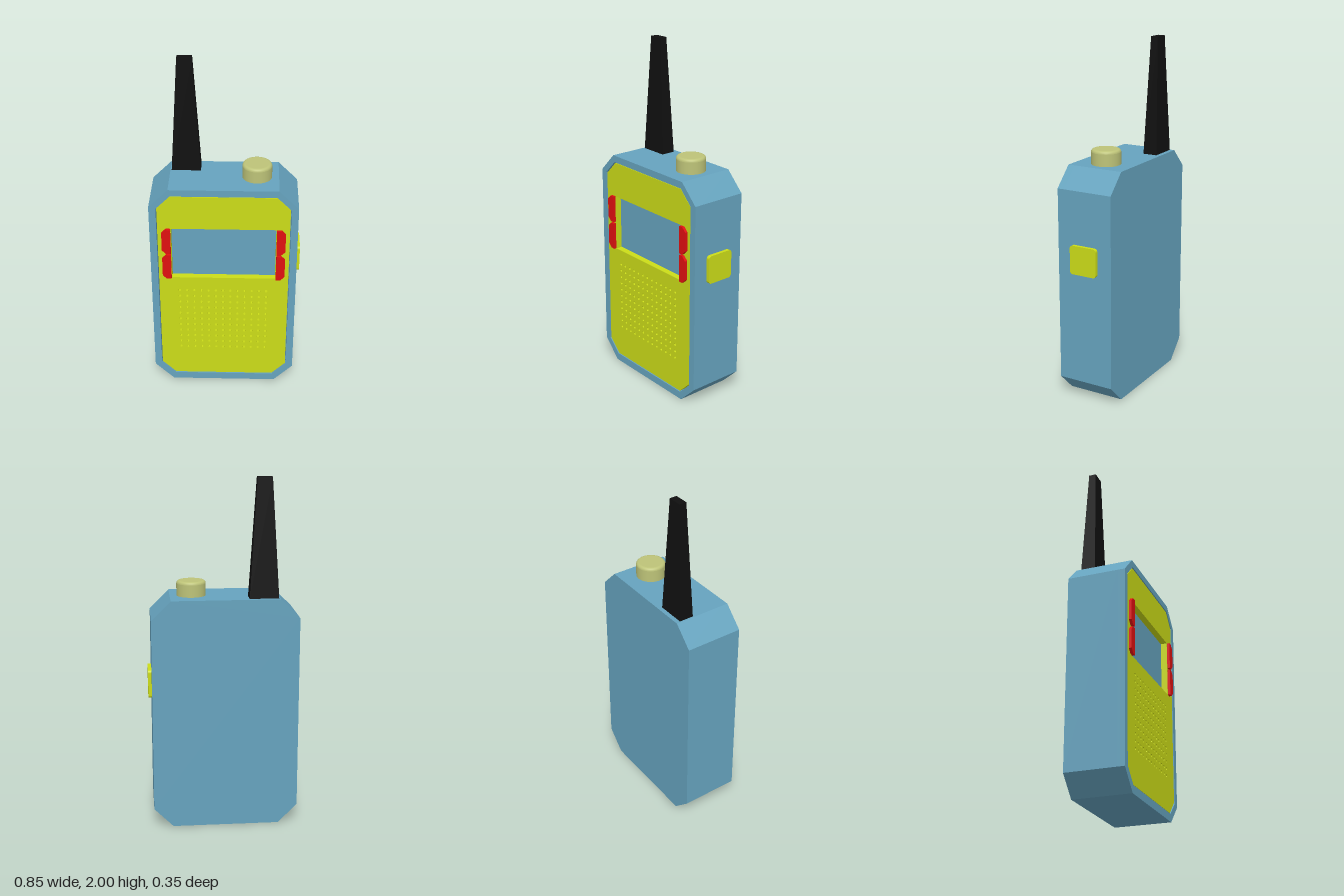
import * as THREE from 'three';

const mat = (color) => new THREE.MeshStandardMaterial({ color });
const BLUE = mat(0x66a3be), LIME = mat(0xcbdc18), RED = mat(0xe01010);
const BLACK = mat(0x101010), KHAKI = mat(0xbdc378);

// Rectangle with its four corners cut by c = [bottomLeft, bottomRight, topRight, topLeft]
function chamferedRect(x0, x1, y0, y1, [bl, br, tr, tl], Type = THREE.Shape) {
  const pts = [
    [x0 + bl, y0], [x1 - br, y0], [x1, y0 + br], [x1, y1 - tr],
    [x1 - tr, y1], [x0 + tl, y1], [x0, y1 - tl], [x0, y0 + bl],
  ].map(([x, y]) => new THREE.Vector2(x, y));
  return new Type(pts.filter((p, i) => !p.equals(pts[(i + 1) % pts.length])));
}

// Rectangle with rounded corners, centred on the origin
function roundedRect(w, h, r) {
  const s = new THREE.Shape(), a = w / 2 - r, b = h / 2 - r;
  s.absarc(a, b, r, 0, Math.PI / 2);
  s.absarc(-a, b, r, Math.PI / 2, Math.PI);
  s.absarc(-a, -b, r, Math.PI, Math.PI * 1.5);
  s.absarc(a, -b, r, Math.PI * 1.5, Math.PI * 2);
  s.closePath();
  return s;
}

const slab = (shape, z0, z1) => new THREE.ExtrudeGeometry(shape, {
  depth: z1 - z0, bevelEnabled: false, curveSegments: 5,
}).translate(0, 0, z0);

export function createModel() {
  const model = new THREE.Group();
  const add = (name, geometry, material) => {
    const mesh = new THREE.Mesh(geometry, material);
    mesh.name = name;
    model.add(mesh);
    return mesh;
  };

  // Case: solid core with a raised rim around the front panel
  const outer = () => chamferedRect(-0.425, 0.405, 0, 1.335, [0.11, 0.11, 0.11, 0.11]);
  const cut = [0.08, 0.08, 0.08, 0.08];
  add('caseBody', slab(outer(), -0.175, 0.12), BLUE);
  const rim = outer();
  rim.holes.push(chamferedRect(-0.385, 0.365, 0.045, 1.295, cut, THREE.Path));
  add('caseRim', slab(rim, 0.12, 0.16), BLUE);

  // Front panel with screen window and speaker holes
  const panel = chamferedRect(-0.381, 0.361, 0.049, 1.291, cut);
  panel.holes.push(chamferedRect(-0.305, 0.285, 0.755, 1.085, [0, 0, 0, 0], THREE.Path));
  for (let col = 0; col < 13; col++) {
    for (let row = 0; row < 11; row++) {
      const hole = new THREE.Path();
      hole.absarc(-0.264 + col * 0.0417, 0.25 + row * 0.0415, 0.008, 0, Math.PI * 2, true);
      panel.holes.push(hole);
    }
  }
  add('frontPanel', slab(panel, 0.12, 0.157), LIME);

  // Two red keys on each side of the screen, outer corners cut
  for (const [label, y] of [['Lower', 0.755], ['Upper', 0.925]]) {
    const c = 0.024;
    add('rightKey' + label, slab(chamferedRect(-0.358, -0.308, y, y + 0.16, [c, 0, 0, c]), 0.14, 0.173), RED);
    add('leftKey' + label, slab(chamferedRect(0.288, 0.338, y, y + 0.16, [0, c, c, 0]), 0.14, 0.173), RED);
  }

  // Push-to-talk button on the left side
  const talk = add('sideButton', slab(roundedRect(0.165, 0.165, 0.018), 0, 0.03), LIME);
  talk.rotation.y = Math.PI / 2;
  talk.position.set(0.395, 0.838, -0.008);

  // Knob with a rounded top edge
  const r = 0.083, h = 0.085, e = 0.016;
  const profile = [new THREE.Vector2(r, 0), new THREE.Vector2(r, h - e)];
  for (let i = 0; i <= 5; i++) {
    const a = (i / 5) * Math.PI / 2;
    profile.push(new THREE.Vector2(r - e + e * Math.cos(a), h - e + e * Math.sin(a)));
  }
  profile.push(new THREE.Vector2(r - e, h), new THREE.Vector2(0, h));
  add('volumeKnob', new THREE.LatheGeometry(profile, 40), KHAKI).position.set(0.173, 1.335, -0.008);

  // Antenna: box tapered to half size at the tip
  const antenna = new THREE.BoxGeometry(0.165, 0.667, 0.084).translate(0, 0.3335, 0);
  const p = antenna.attributes.position;
  for (let i = 0; i < p.count; i++) {
    if (p.getY(i) > 0.3) p.setXYZ(i, p.getX(i) * 0.5, p.getY(i), p.getZ(i) * 0.5);
  }
  antenna.computeVertexNormals();
  add('antenna', antenna, BLACK).position.set(-0.2255, 1.333, -0.108);

  return model;
}
